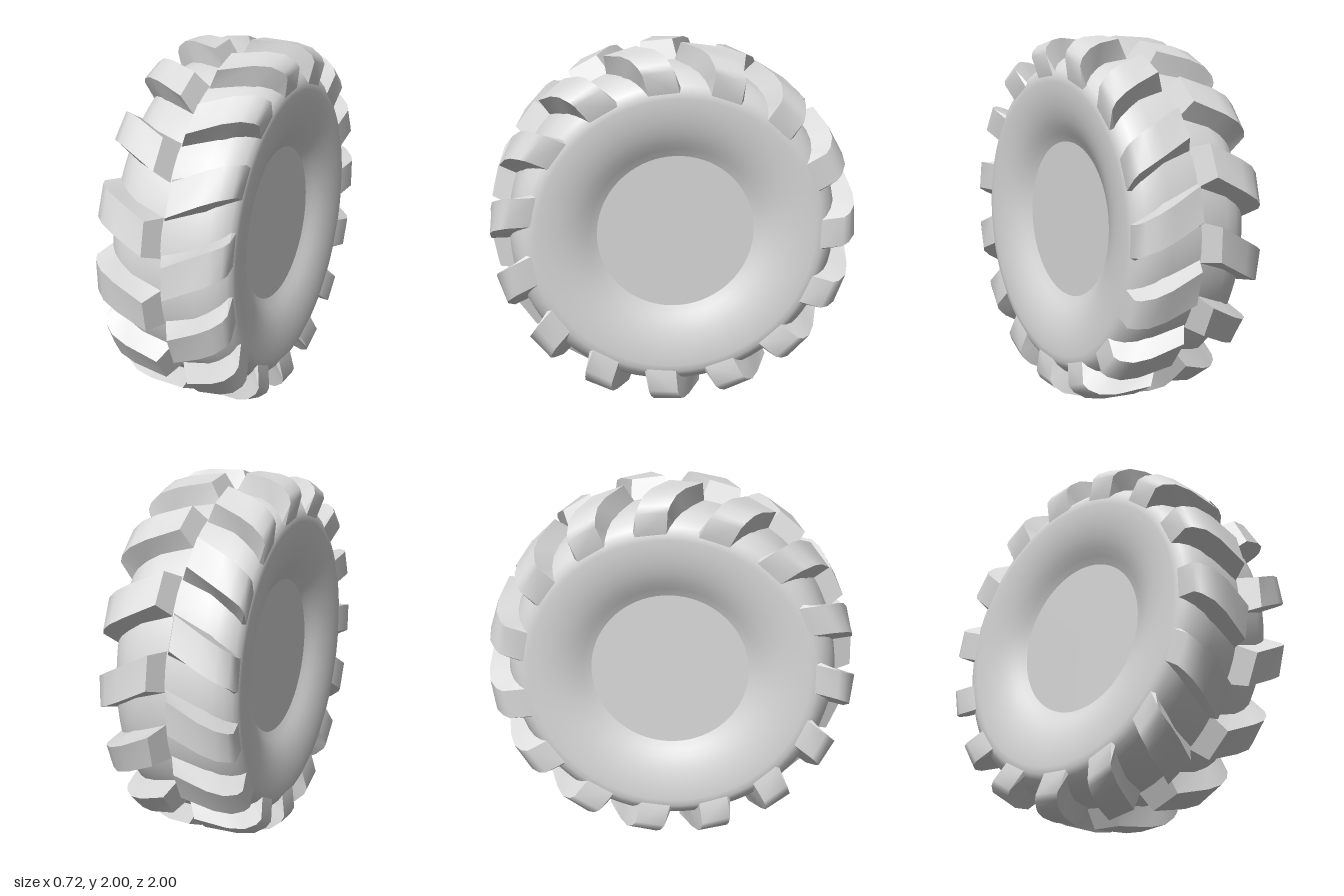
import * as THREE from 'three';
import { toCreasedNormals } from 'three/addons/utils/BufferGeometryUtils.js';

const LUGS = 15;
const rad = THREE.MathUtils.degToRad;

// Surface of revolution around the x axis; half profile of [x, radius] from the middle outwards
function revolve(half) {
  const mirrored = half.slice().reverse().map(([x, r]) => [-x, r]);
  const points = [...mirrored, ...half.filter(([x]) => x > 0)].map(([x, r]) => new THREE.Vector2(r, x));
  const geometry = new THREE.LatheGeometry(points, 72);
  geometry.rotateZ(-Math.PI / 2);
  return toCreasedNormals(geometry, 0.6);
}

// Tread bar swept from the centre line over the shoulder; side is +1 (left) or -1 (right)
function lugGeometry(side) {
  // [top x, top radius, base x, base radius, sweep in degrees, half width in degrees]
  const stations = [
    [0.055, 1.0, 0.0, 0.893, 0, 5],
    [0.215, 0.994, 0.19, 0.865, 4.7, 5],
    [0.295, 0.975, 0.24, 0.84, 7, 5],
    [0.345, 0.935, 0.275, 0.82, 8.6, 5],
    [0.36, 0.9, 0.29, 0.8, 9.6, 5.2],
    [0.334, 0.778, 0.305, 0.765, 11, 6],
  ];
  const positions = [];
  const index = [];
  const add = (x, r, degrees) =>
    positions.push(side * x, r * Math.sin(rad(degrees)), r * Math.cos(rad(degrees)));
  const tri = (a, b, c) => (side > 0 ? index.push(a, b, c) : index.push(a, c, b));
  stations.forEach(([tx, tr, bx, br, sweep, half], i) => {
    add(bx, br, sweep - half - 1.6);
    add(tx, tr, sweep - half);
    add(tx, tr, sweep + half);
    add(bx, br, sweep + half + 1.6);
    if (i === 0) return;
    for (let j = 0; j < 4; j++) {
      const k = (j + 1) % 4;
      const a = (i - 1) * 4, b = i * 4;
      tri(a + j, b + j, b + k);
      tri(a + j, b + k, a + k);
    }
  });
  // End caps
  const e = (stations.length - 1) * 4;
  tri(0, 1, 2);
  tri(0, 2, 3);
  tri(e, e + 2, e + 1);
  tri(e, e + 3, e + 2);
  const geometry = new THREE.BufferGeometry();
  geometry.setAttribute('position', new THREE.Float32BufferAttribute(positions, 3));
  geometry.setIndex(index);
  return toCreasedNormals(geometry, 0.65);
}

export function createModel() {
  const grey = new THREE.MeshStandardMaterial({ color: 0xdadada });
  grey.name = 'light grey';

  const model = new THREE.Group();
  model.name = 'tractorTyre';
  const wheel = new THREE.Group();
  wheel.name = 'wheel';
  wheel.position.y = 1;
  model.add(wheel);

  // Carcass with rounded shoulders and dished sidewalls
  const carcass = new THREE.Mesh(revolve([
    [0, 0.898], [0.17, 0.89], [0.235, 0.875], [0.285, 0.848], [0.318, 0.815], [0.335, 0.785], [0.336, 0.75],
    [0.334, 0.7], [0.325, 0.63], [0.307, 0.565], [0.285, 0.51], [0.262, 0.47], [0.25, 0.447], [0.24, 0.427],
  ]), grey);
  carcass.name = 'carcass';
  wheel.add(carcass);

  // Flat disc closing the middle on both sides
  const disc = new THREE.Mesh(new THREE.CylinderGeometry(0.427, 0.427, 0.48, 72), grey);
  disc.name = 'wheelDisc';
  disc.rotation.z = Math.PI / 2;
  wheel.add(disc);

  // Two staggered rows of slanted tread lugs
  for (const [side, name, start] of [[1, 'leftLugs', 1.7], [-1, 'rightLugs', 13.7]]) {
    const row = new THREE.Group();
    row.name = name;
    const geometry = lugGeometry(side);
    for (let i = 0; i < LUGS; i++) {
      const lug = new THREE.Mesh(geometry, grey);
      lug.name = 'lug';
      lug.rotation.x = -rad(start + (i * 360) / LUGS);
      row.add(lug);
    }
    wheel.add(row);
  }
  return model;
}
